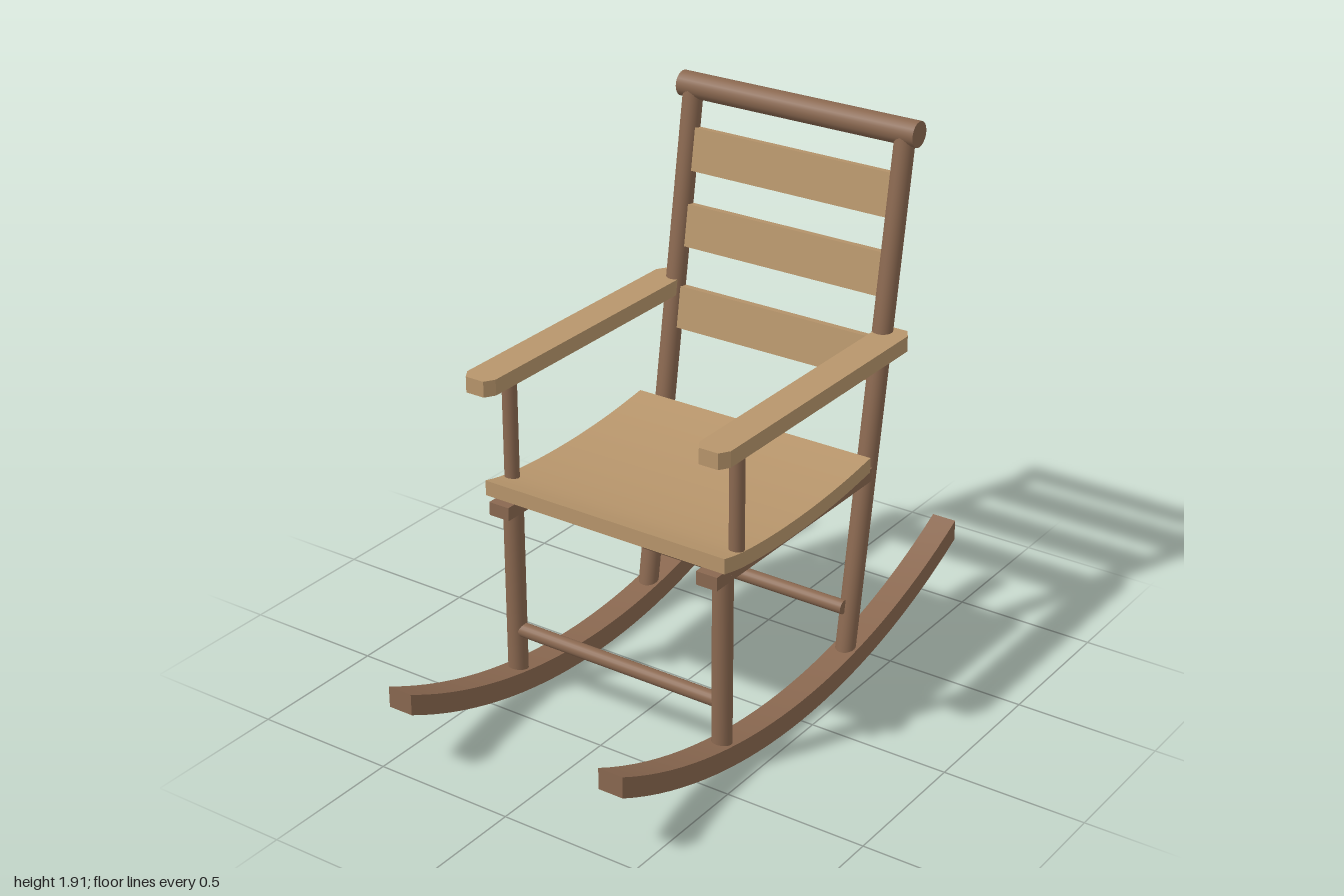
import * as THREE from 'three';
import { toCreasedNormals } from 'three/addons/utils/BufferGeometryUtils.js';

const darkWood = new THREE.MeshStandardMaterial({ color: 0x8a6850 });
const lightWood = new THREE.MeshStandardMaterial({ color: 0xb8966c });

export function createModel() {
  const group = new THREE.Group();
  group.name = 'rockingChair';

  function add(name, geometry, material) {
    const mesh = new THREE.Mesh(geometry, material);
    mesh.name = name;
    group.add(mesh);
    return mesh;
  }

  // Round bar between two points
  function bar(name, from, to, radius) {
    const a = new THREE.Vector3(...from), b = new THREE.Vector3(...to);
    const dir = b.clone().sub(a);
    const mesh = add(name, new THREE.CylinderGeometry(radius, radius, dir.length(), 20), darkWood);
    mesh.position.copy(a).add(b).multiplyScalar(0.5);
    mesh.quaternion.setFromUnitVectors(new THREE.Vector3(0, 1, 0), dir.normalize());
    return mesh;
  }

  // Bent board: a side profile of [z, y] top points, given a thickness, extruded across x
  function bentBoard(top, thickness, width) {
    const bottom = top.map(([z, y]) => [z, y - thickness]).reverse();
    const shape = new THREE.Shape([...top, ...bottom].map(([z, y]) => new THREE.Vector2(z, y)));
    const geometry = new THREE.ExtrudeGeometry(shape, { depth: width, bevelEnabled: false });
    geometry.translate(0, 0, -width / 2).rotateY(-Math.PI / 2);
    return toCreasedNormals(geometry, 0.5);
  }

  // Rocker arc
  const R = 2.2, arc = [];
  for (let i = 0; i <= 32; i++) {
    const z = -1 + i / 16;
    arc.push([z, 0.075 + R - Math.sqrt(R * R - z * z)]);
  }

  // Armrest outline with clipped corners
  const armShape = new THREE.Shape();
  const w = 0.057, l = 0.55, cx = 0.022, cz = 0.035;
  [[-w, -l + cz], [-w + cx, -l], [w - cx, -l], [w, -l + cz],
    [w, l - cz], [w - cx, l], [-w + cx, l], [-w, l - cz]]
    .forEach(([x, y], i) => (i ? armShape.lineTo(x, y) : armShape.moveTo(x, y)));
  armShape.closePath();

  // Centre line of the leaning back posts
  const lean = 0.29 / 1.83;
  const postZ = y => -0.335 - lean * (y - 0.03);

  for (const [side, s] of [['left', 1], ['right', -1]]) {
    const x = 0.411 * s;

    add(side + 'Rocker', bentBoard(arc, 0.075, 0.09), darkWood).position.x = x;
    bar(side + 'FrontLeg', [x, 0.05, 0.403], [x, 0.73, 0.403], 0.034);
    bar(side + 'BackPost', [x, 0.04, postZ(0.04)], [x, 1.86, postZ(1.86)], 0.035);
    bar(side + 'ArmSupport', [0.439 * s, 0.76, 0.37], [0.439 * s, 1.17, 0.37], 0.025);

    const rail = add(side + 'SeatRail', new THREE.BoxGeometry(0.078, 0.047, 0.915), darkWood);
    rail.position.set(0.405 * s, 0.732, 0.0275);

    const armGeometry = new THREE.ExtrudeGeometry(armShape, { depth: 0.055, bevelEnabled: false });
    armGeometry.rotateX(-Math.PI / 2);
    add(side + 'Armrest', armGeometry, lightWood).position.set(0.445 * s, 1.155, -0.015);
  }

  // Dished seat
  const seatCurve = new THREE.SplineCurve([
    [-0.38, 0.818], [-0.2, 0.797], [0, 0.786], [0.2, 0.788], [0.37, 0.802], [0.475, 0.823],
  ].map(p => new THREE.Vector2(...p)));
  const seatTop = seatCurve.getPoints(20).map(p => [p.x, p.y]);
  add('seat', bentBoard(seatTop, 0.053, 0.93), lightWood);

  // Back slats lie along the posts
  for (const y of [1.11, 1.395, 1.655]) {
    const slat = add('backSlat', new THREE.BoxGeometry(0.78, 0.148, 0.032), lightWood);
    slat.position.set(0, y, postZ(y));
    slat.rotation.x = -Math.atan(lean);
  }

  // Top rail and leg stretchers
  bar('topRail', [-0.458, 1.863, -0.631], [0.458, 1.863, -0.631], 0.044);
  bar('frontStretcher', [-0.41, 0.262, 0.403], [0.41, 0.262, 0.403], 0.025);
  bar('backStretcher', [-0.41, 0.262, -0.33], [0.41, 0.262, -0.33], 0.025);

  return group;
}
